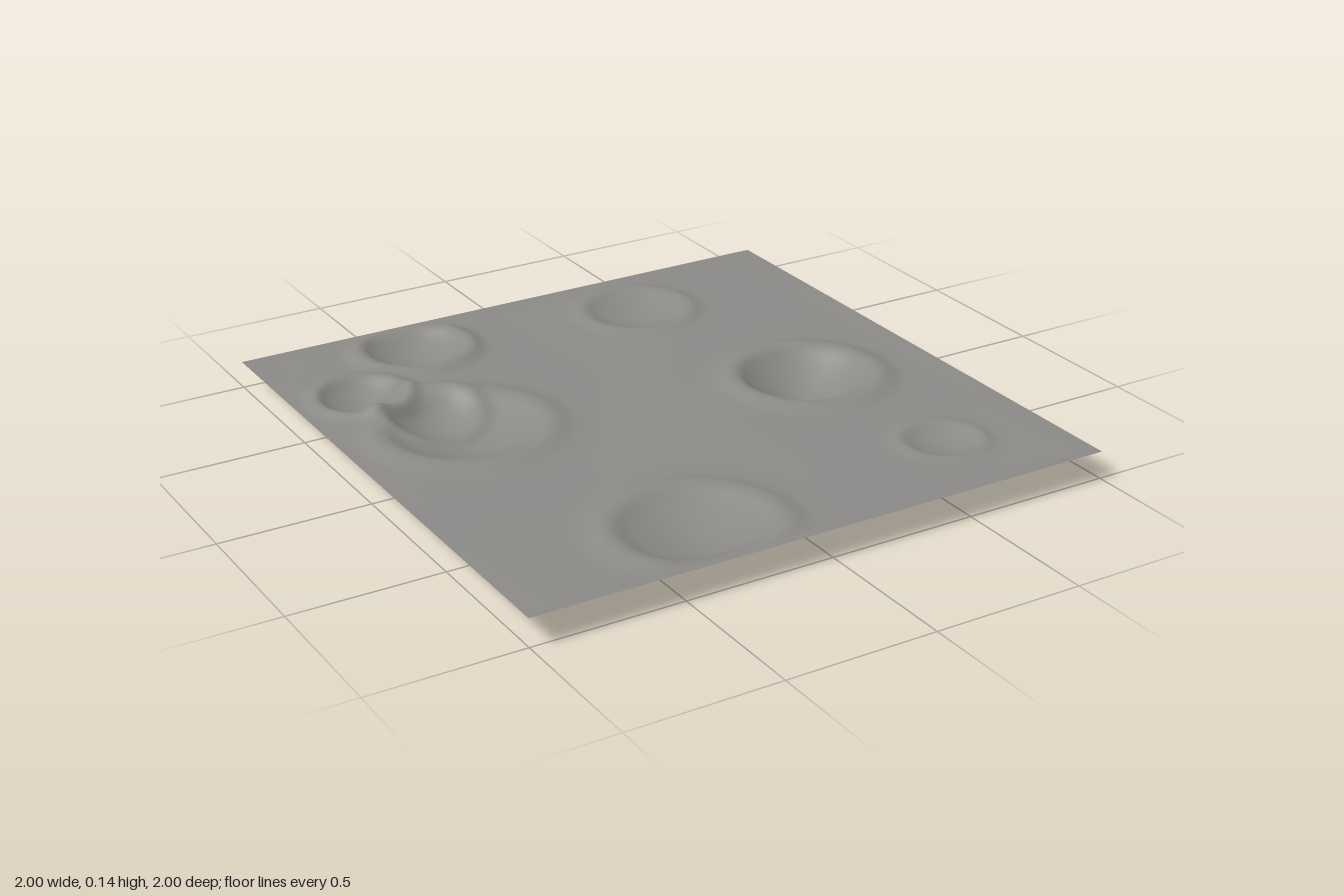
import * as THREE from 'three';

const BASE = 0.095;

// Craters: x, z, radius, depth, rim height
const CRATERS = [
  [-0.46, -0.8, 0.17, 0.048, 0.02],
  [0.35, -0.71, 0.17, 0.03, 0.012],
  [0.54, 0.06, 0.22, 0.092, 0.018],
  [-0.33, 0.78, 0.24, 0.048, 0.016],
  [0.63, 0.68, 0.12, 0.022, 0.008],
  [-0.6, -0.16, 0.25, 0.056, 0.016],
  [-0.64, -0.34, 0.15, 0.026, 0.014],
  [-0.78, -0.53, 0.14, 0.042, 0.018],
];

// Rounded bowl with a soft raised rim
function craterHeight(x, z, [cx, cz, radius, depth, rim]) {
  const t = Math.hypot(x - cx, z - cz) / radius;
  const bowl = t < 1 ? -depth * Math.pow(1 - t * t, 1.4) : 0;
  return bowl + rim * Math.exp(-Math.pow((t - 1.12) / 0.21, 2));
}

function heightAt(x, z) {
  let h = 0.0012 * (Math.sin(5.1 * x + 1.3 * z) + Math.sin(4.3 * z - 2.2 * x + 1));
  for (const crater of CRATERS) h += craterHeight(x, z, crater);
  // Relief settles to the flat level at the border
  const fade = (v) => THREE.MathUtils.smoothstep(1 - Math.abs(v), 0, 0.1);
  return Math.max(0, BASE + h * fade(x) * fade(z));
}

export function createModel() {
  const group = new THREE.Group();
  group.name = 'crateredTerrain';

  const rock = new THREE.MeshStandardMaterial({ color: 0x8a8986, side: THREE.DoubleSide });
  rock.name = 'grey rock';

  // Ground sheet displaced by the crater profile
  const geometry = new THREE.PlaneGeometry(2, 2, 160, 160).rotateX(-Math.PI / 2);
  const p = geometry.attributes.position;
  for (let i = 0; i < p.count; i++) p.setY(i, heightAt(p.getX(i), p.getZ(i)));
  geometry.computeVertexNormals();
  geometry.computeBoundingBox();
  geometry.translate(0, -geometry.boundingBox.min.y, 0);

  const ground = new THREE.Mesh(geometry, rock);
  ground.name = 'crateredGround';
  group.add(ground);
  return group;
}
